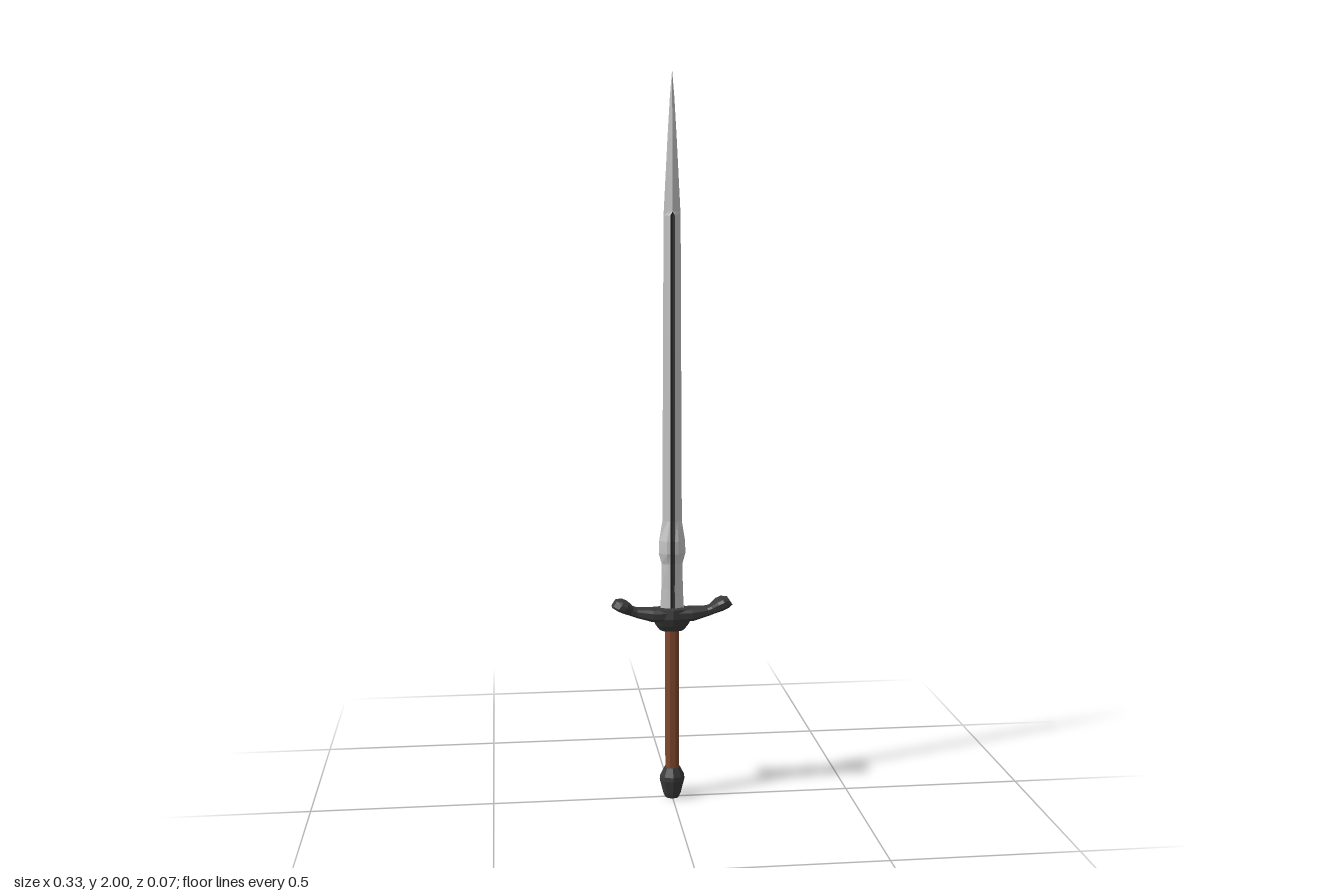
import * as THREE from 'three';

const mat = (color, side = THREE.FrontSide) =>
  new THREE.MeshStandardMaterial({ color, flatShading: true, side });
const steel = mat(0xcccccc);
const darkMetal = mat(0x3a3a3a);
const grooveDark = mat(0x2c2c2c, THREE.DoubleSide);
const leather = mat(0x84492f);

// Skin a list of rings (arrays of [x, y, z]) with flat faces
function loft(rings, closed) {
  const pos = [];
  for (let i = 0; i + 1 < rings.length; i++) {
    const lo = rings[i], hi = rings[i + 1], n = lo.length;
    for (let j = 0; j < (closed ? n : n - 1); j++) {
      const k = (j + 1) % n;
      pos.push(...lo[j], ...lo[k], ...hi[k], ...lo[j], ...hi[k], ...hi[j]);
    }
  }
  const geo = new THREE.BufferGeometry();
  geo.setAttribute('position', new THREE.Float32BufferAttribute(pos, 3));
  geo.computeVertexNormals();
  return geo;
}

function add(parent, name, geo, material) {
  const mesh = new THREE.Mesh(geo, material);
  mesh.name = name;
  parent.add(mesh);
  return mesh;
}

// Faceted turned part
function turned(profile, sides) {
  const points = profile.map(([r, y]) => new THREE.Vector2(r, y));
  return new THREE.LatheGeometry(points, sides);
}

function makeBlade() {
  const blade = new THREE.Group();
  blade.name = 'blade';
  // [height, half width, shoulder x, shoulder depth, ridge depth, groove half width]
  const rows = [
    [0.52, 0.034, 0.014, 0.010, 0.014, 0.006],
    [0.60, 0.030, 0.013, 0.009, 0.012, 0.006],
    [0.67, 0.029, 0.013, 0.010, 0.013, 0.006],
    [0.70, 0.037, 0.016, 0.017, 0.019, 0.006],
    [0.735, 0.036, 0.016, 0.017, 0.019, 0.006],
    [0.79, 0.027, 0.013, 0.008, 0.012, 0.006],
    [1.62, 0.023, 0.012, 0.006, 0.010, 0.006],
    [1.63, 0.0225, 0.011, 0.005, 0.010, 0],
    [1.83, 0.012, 0.006, 0.003, 0.006, 0],
    [1.93, 0.006, 0.003, 0.0015, 0.003, 0],
    [2.00, 0, 0, 0, 0, 0],
  ];
  const half = loft(rows.map(([y, w, m, dm, d, r]) =>
    [[r, y, d], [m, y, dm], [w, y, 0], [m, y, -dm], [r, y, -d]]), false);
  const groove = loft(rows.slice(0, 8).map(([y, , , , d, r]) =>
    [[-r, y, d], [0, y, d - r * 0.8], [r, y, d]]), false);
  // Each half and groove is repeated by a half turn
  add(blade, 'leftEdge', half, steel);
  add(blade, 'rightEdge', half, steel).rotation.y = Math.PI;
  add(blade, 'frontGroove', groove, grooveDark);
  add(blade, 'backGroove', groove, grooveDark).rotation.y = Math.PI;
  return blade;
}

function makeGuard() {
  const guard = new THREE.Group();
  guard.name = 'guard';
  // [x, height, half thickness, half depth, tilt] from the middle outward
  const rows = [
    [0, 0.526, 0.018, 0.03, 0],
    [0.055, 0.528, 0.016, 0.03, 0.1],
    [0.1, 0.535, 0.011, 0.022, 0.3],
    [0.113, 0.540, 0.011, 0.022, 0.45],
    [0.131, 0.551, 0.014, 0.034, 0.6],
    [0.146, 0.558, 0.014, 0.034, 0.6],
    [0.161, 0.562, 0.011, 0.018, 0.6],
    [0.161, 0.562, 0, 0, 0.6],
  ];
  const mirrored = rows.slice(1).reverse().map(([x, y, t, d, a]) => [-x, y, t, d, -a]);
  // Chamfered section as [depth, thickness]
  const section = [[-0.75, 1], [0.75, 1], [1, 0.5], [1, -0.5],
    [0.75, -1], [-0.75, -1], [-1, -0.5], [-1, 0.5]];
  const rings = [...mirrored, ...rows].map(([x, y, t, d, a]) =>
    section.map(([u, v]) => [x - Math.sin(a) * t * v, y + Math.cos(a) * t * v, d * u]));
  add(guard, 'crossBar', loft(rings, true), darkMetal);

  // Tapered block under the cross bar
  const collar = add(guard, 'collar', turned([
    [0, 0.483], [0.034, 0.483], [0.046, 0.498], [0.056, 0.520], [0.050, 0.545], [0, 0.547],
  ], 8), darkMetal);
  collar.scale.z = 0.66;
  return guard;
}

export function createModel() {
  const sword = new THREE.Group();
  sword.name = 'sword';
  sword.add(makeBlade(), makeGuard());

  const grip = add(sword, 'grip', new THREE.CylinderGeometry(0.02, 0.02, 0.42, 8, 1, true), leather);
  grip.position.y = 0.285;
  grip.rotation.y = Math.PI / 8;

  add(sword, 'pommel', turned([
    [0, 0], [0.02, 0], [0.025, 0.012], [0.035, 0.052], [0.034, 0.064], [0.022, 0.088], [0, 0.09],
  ], 8), darkMetal);
  return sword;
}
